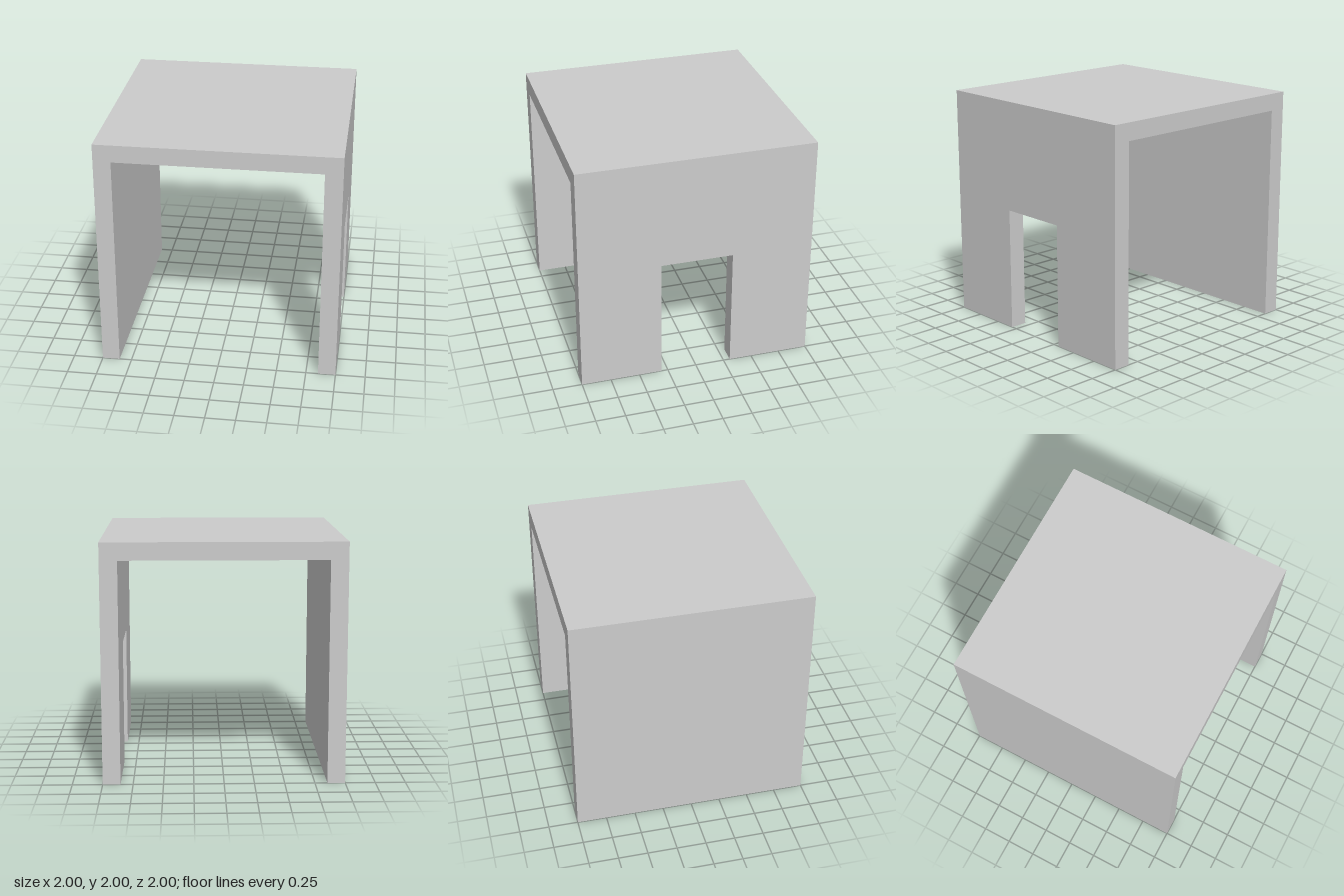
import * as THREE from 'three';

const HALF = 1, HEIGHT = 2, THICK = 0.147;
const ROOF_Y = HEIGHT - THICK; // underside of the roof
const DOOR_HALF = 0.307, DOOR_TOP = 1.057;

// Upright wall from a (z, y) outline, with its outer face at outerX and thickness toward -x
function wall(name, outline, outerX, material) {
  const shape = new THREE.Shape(outline.map(([z, y]) => new THREE.Vector2(z, y)));
  const geometry = new THREE.ExtrudeGeometry(shape, { depth: THICK, bevelEnabled: false });
  geometry.rotateY(-Math.PI / 2);
  const mesh = new THREE.Mesh(geometry, material);
  mesh.name = name;
  mesh.position.x = outerX;
  return mesh;
}

export function createModel() {
  const group = new THREE.Group();
  group.name = 'shelter';
  const material = new THREE.MeshStandardMaterial({ color: 0xcccccc, flatShading: true });

  // Flat roof slab
  const roof = new THREE.Mesh(new THREE.BoxGeometry(2 * HALF, THICK, 2 * HALF), material);
  roof.name = 'roof';
  roof.position.y = HEIGHT - THICK / 2;
  group.add(roof);

  // Solid wall on the -x side
  group.add(wall('solidWall', [
    [-HALF, 0], [HALF, 0], [HALF, ROOF_Y], [-HALF, ROOF_Y],
  ], -HALF + THICK, material));

  // Wall with a doorway on the +x side
  group.add(wall('doorwayWall', [
    [-HALF, 0], [-DOOR_HALF, 0], [-DOOR_HALF, DOOR_TOP], [DOOR_HALF, DOOR_TOP],
    [DOOR_HALF, 0], [HALF, 0], [HALF, ROOF_Y], [-HALF, ROOF_Y],
  ], HALF, material));

  return group;
}
